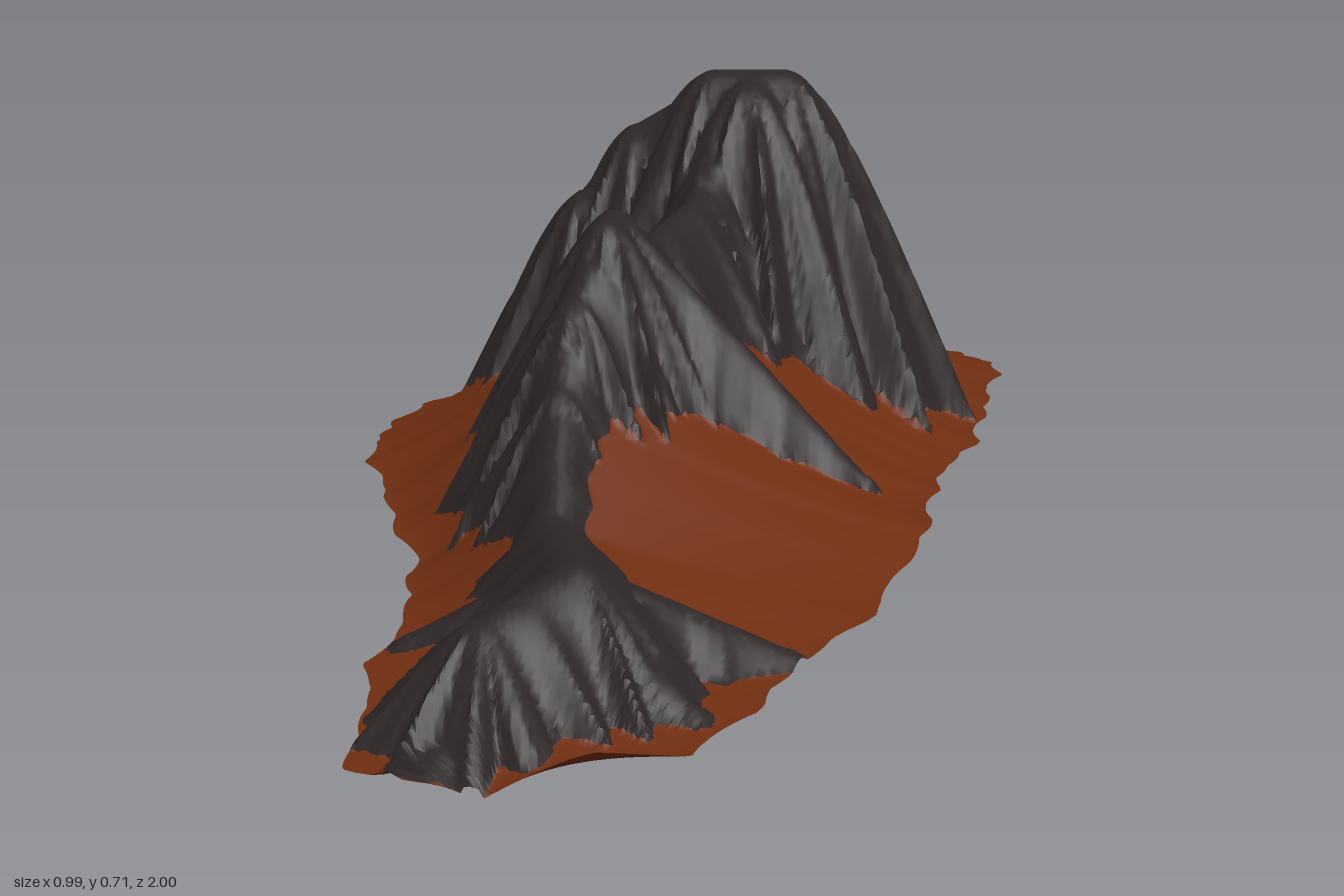
import * as THREE from 'three';
import { mergeVertices, toCreasedNormals } from 'three/addons/utils/BufferGeometryUtils.js';

// Stations from back to front: z, left rim x, right rim x, left rim y, right rim y, spine x, spine y
const stations = [
  [-1, -0.1, 0.4, 0.165, 0.165, 0.1, 0.165],
  [-0.95, -0.24, 0.42, 0.165, 0.17, 0.09, 0.19],
  [-0.85, -0.28, 0.45, 0.165, 0.18, 0.08, 0.24],
  [-0.68, -0.36, 0.495, 0.165, 0.195, 0.07, 0.32],
  [-0.38, -0.47, 0.45, 0.17, 0.18, 0.06, 0.55],
  [-0.14, -0.495, 0.4, 0.178, 0.17, -0.03, 0.47],
  [0.1, -0.46, 0.32, 0.15, 0.16, -0.13, 0.46],
  [0.3, -0.4, 0.3, 0.11, 0.15, -0.18, 0.33],
  [0.5, -0.4, 0.22, 0.09, 0.1, -0.2, 0.2],
  [0.7, -0.43, 0.1, 0.055, 0.065, -0.17, 0.13],
  [0.94, -0.43, -0.03, 0.02, 0.035, -0.24, 0.04],
  [1, -0.32, -0.14, 0.02, 0.06, -0.28, 0],
];

const wave = (c) => Math.abs(2 * (c - Math.floor(c)) - 1); // 1..0..1 crease wave

// Cross-section of the ground at z, with a ragged rim
function section(z) {
  let i = 1;
  while (i < stations.length - 1 && stations[i][0] < z) i++;
  const a = stations[i - 1], b = stations[i], t = (z - a[0]) / (b[0] - a[0]);
  const [, left, right, leftY, rightY, spineX, spineY] = a.map((v, k) => v + (b[k] - v) * t);
  const rag = (phase) => 0.025 * (wave(4.3 * z + phase) * wave(7.1 * z + 2 * phase) - 0.3);
  return { left: left - rag(0.2), right: right + rag(0.6), leftY, rightY, spineX, spineY };
}

// Concave slope from the spine down to the rim
function groundHeight(x, z) {
  const s = section(z), isLeft = x < s.spineX;
  const u = Math.min(1, (x - s.spineX) / ((isLeft ? s.left : s.right) - s.spineX));
  const rim = isLeft ? s.leftY : s.rightY;
  return rim + (s.spineY - rim) * Math.pow(1 - u, 1.35);
}

// Ridges: crest points [x, z, y], side slope and crest roundness
const ridges = [
  { slope: 2.75, round: 0.1, path: [[0.02, -0.34, 0.715], [0.125, -0.34, 0.715]] }, // rear summit
  { slope: 2.75, round: 0.1, path: [[0.07, -0.29, 0.7], [0.07, -0.4, 0.7]] },
  { slope: 2.4, round: 0.05, path: [[0.02, -0.35, 0.7], [-0.1, -0.36, 0.63], [-0.18, -0.35, 0.53]] }, // shoulder
  { slope: 2.2, round: 0.05, path: [[0.02, -0.24, 0.62], [0, -0.16, 0.55], [-0.08, 0, 0.505], [-0.13, 0.08, 0.558],
    [-0.14, 0.13, 0.55], [-0.18, 0.22, 0.455], [-0.2, 0.32, 0.35], [-0.2, 0.5, 0.215]] }, // saddle and middle summit
  { slope: 1.2, round: 0.04, path: [[-0.2, 0.5, 0.21], [-0.17, 0.73, 0.215], [-0.28, 0.83, 0.17], [-0.32, 0.94, 0.05]] }, // front knoll
  { slope: 1.3, round: 0.02, path: [[0.04, -0.5, 0.55], [0.01, -0.64, 0.385], [0, -0.87, 0.275]] }, // back spur
  { slope: 1, round: 0.02, path: [[0.28, -0.62, 0.27], [0.29, -0.78, 0.285], [0.37, -0.93, 0.205]] }, // back outcrop
];

// A spur runs straight from a crest point down to the ground
function addSpur(x, z, y, footX, footZ, slope) {
  const foot = [footX, footZ, groundHeight(footX, footZ) + 0.015];
  ridges.push({ slope, round: 0.02, path: [[x, z, y], foot] });
}

// Fan of spurs round the rear summit
for (let k = 0; k < 9; k++) {
  const angle = 0.4 + (k * 2 * Math.PI) / 9, c = Math.cos(angle), s = Math.sin(angle);
  const reach = k % 2 ? 0.93 : 1.05;
  addSpur(0.05 + 0.1 * c, -0.34 + 0.08 * s, 0.64, 0.02 + 0.29 * c * reach, -0.34 + 0.26 * s * reach, 2.2);
}
addSpur(0.1, -0.5, 0.53, 0.12, -0.78, 1.5);
addSpur(0, -0.72, 0.34, -0.2, -0.88, 1);
// Middle summit
addSpur(-0.1, 0.11, 0.54, 0.22, 0.18, 2);
addSpur(-0.16, 0.12, 0.52, -0.32, 0.18, 2);
// Front knoll
addSpur(-0.17, 0.7, 0.21, 0.09, 0.67, 1.2);
addSpur(-0.17, 0.74, 0.2, -0.03, 0.84, 1.2);
addSpur(-0.17, 0.6, 0.2, -0.38, 0.61, 1.2);

function rockHeight(x, z) {
  let best = -1;
  for (const { slope, round, path } of ridges) {
    for (let i = 1; i < path.length; i++) {
      const [ax, az, ay] = path[i - 1], [bx, bz, by] = path[i];
      const dx = bx - ax, dz = bz - az, len2 = dx * dx + dz * dz;
      const t = THREE.MathUtils.clamp(((x - ax) * dx + (z - az) * dz) / len2, 0, 1);
      const ox = x - ax - t * dx, oz = z - az - t * dz;
      const turn = Math.atan2(oz, ox) / (2 * Math.PI), run = t * Math.sqrt(len2);
      // flutes run down the slope and deepen away from the crest
      const flute = 0.85 + 0.3 * wave(11 * turn + 11 * run) + 0.12 * wave(19 * turn + 17 * run + 0.3);
      const drop = slope * (Math.hypot(ox, oz, round) - round) * flute;
      best = Math.max(best, ay + (by - ay) * t - drop);
    }
  }
  return best;
}

// Keep the part of a triangle where sign * (rock - ground) > 0
function clip(tri, sign, out) {
  const poly = [];
  tri.forEach((p, i) => {
    const q = tri[(i + 1) % 3];
    if (p.f * sign >= 0) poly.push(p.pos);
    if (p.f * q.f < 0) poly.push(p.pos.clone().lerp(q.pos, p.f / (p.f - q.f)));
  });
  for (let i = 2; i < poly.length; i++) {
    for (const v of [poly[0], poly[i - 1], poly[i]]) out.push(v.x, v.y, v.z);
  }
}

function sheet(name, positions, color, crease) {
  let geometry = new THREE.BufferGeometry();
  geometry.setAttribute('position', new THREE.Float32BufferAttribute(positions, 3));
  if (crease) geometry = toCreasedNormals(geometry, crease);
  else {
    geometry = mergeVertices(geometry, 1e-5);
    geometry.computeVertexNormals();
  }
  const mesh = new THREE.Mesh(geometry, new THREE.MeshStandardMaterial({ color, side: THREE.DoubleSide }));
  mesh.name = name;
  return mesh;
}

export function createModel() {
  const columns = 120, rows = 220, grid = [];
  for (let j = 0; j <= rows; j++) {
    const z = -1 + (2 * j) / rows, { left, right } = section(z);
    for (let i = 0; i <= columns; i++) {
      const x = left + ((right - left) * i) / columns;
      const ground = groundHeight(x, z), rock = rockHeight(x, z);
      grid.push({ pos: new THREE.Vector3(x, Math.max(ground, rock), z), f: rock - ground });
    }
  }

  // Split one continuous surface into bare ground and rock
  const ground = [], rock = [];
  for (let j = 0; j < rows; j++) {
    for (let i = 0; i < columns; i++) {
      const k = j * (columns + 1) + i;
      const a = grid[k], b = grid[k + 1], c = grid[k + columns + 1], d = grid[k + columns + 2];
      const split = (i + j) % 2 ? [[a, c, b], [b, c, d]] : [[a, c, d], [a, d, b]];
      for (const tri of split) {
        clip(tri, 1, rock);
        clip(tri, -1, ground);
      }
    }
  }

  const model = new THREE.Group();
  model.name = 'mountainRidge';
  model.add(sheet('groundSlopes', ground, 0x6e2d10, 0), sheet('rockRidges', rock, 0x2c2526, 0.9));
  return model;
}
